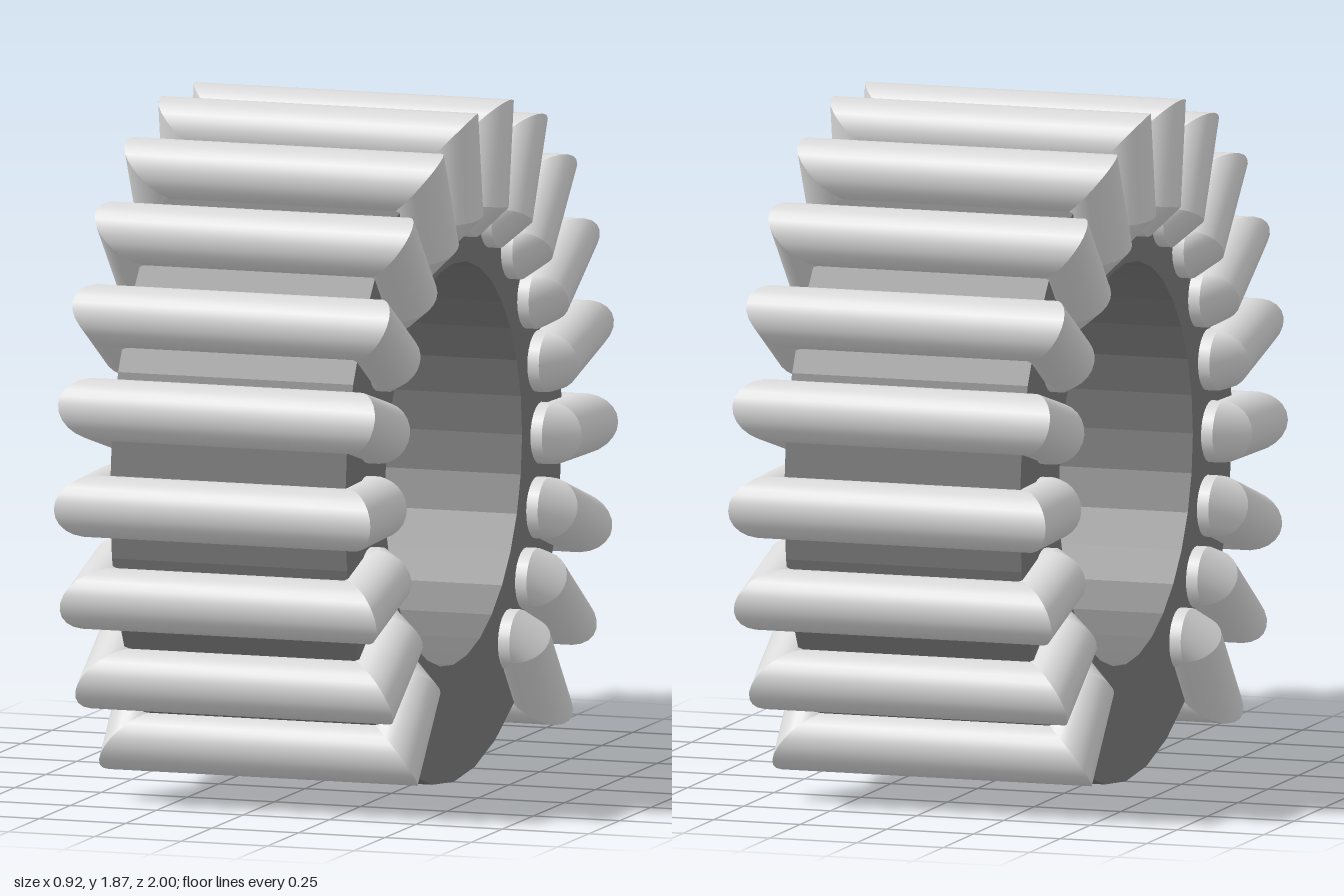
import * as THREE from 'three';
import { mergeGeometries } from 'three/addons/utils/BufferGeometryUtils.js';

const CORE_R = 0.876, BORE_R = 0.553, CORE_HALF = 0.34;
const WIRE_R = 0.085, WIRE_X = 0.373, INNER = 0.705, OUTER = 0.915;
const SIDES = 24;

// Regular polygon points, with a corner straight down
function polygon(radius, sides) {
  return Array.from({ length: sides }, (_, i) => {
    const a = -Math.PI / 2 + (i / sides) * Math.PI * 2;
    return new THREE.Vector2(Math.cos(a) * radius, Math.sin(a) * radius);
  });
}

// Smooth surface between two wire sections; a section is [x, y, outward x, outward y]
function wireSegment(a, b, start, sweep, steps) {
  const pos = [], index = [];
  const closed = sweep > 6;
  const count = closed ? steps : steps + 1;
  for (let i = 0; i < count; i++) {
    const t = start + (i / steps) * sweep;
    const c = Math.cos(t) * WIRE_R, s = Math.sin(t) * WIRE_R;
    for (const [x, y, dx, dy] of [a, b]) pos.push(x + dx * c, y + dy * c, s);
  }
  for (let i = 0; i < steps; i++) {
    const p = 2 * i, n = 2 * ((i + 1) % count);
    index.push(p, p + 1, n, n, p + 1, n + 1);
  }
  const g = new THREE.BufferGeometry();
  g.setAttribute('position', new THREE.Float32BufferAttribute(pos, 3));
  g.setIndex(index);
  g.computeVertexNormals();
  return g;
}

// One squared wire turn: mitred outer corners, chamfered inner corners
function turnGeometry() {
  const rightIn = [WIRE_X, INNER, 0, -1], rightLeg = [WIRE_X, INNER, 1, 0];
  const rightTop = [WIRE_X, OUTER, 1, 1], leftTop = [-WIRE_X, OUTER, -1, 1];
  const leftLeg = [-WIRE_X, INNER, -1, 0], leftIn = [-WIRE_X, INNER, 0, -1];
  const full = (a, b) => wireSegment(a, b, 0, Math.PI * 2, SIDES);
  const half = (a, b) => wireSegment(a, b, -Math.PI / 2, Math.PI, SIDES / 2);
  return mergeGeometries([
    half(rightIn, rightLeg), full(rightLeg, rightTop), full(rightTop, leftTop),
    full(leftTop, leftLeg), half(leftLeg, leftIn), full(leftIn, rightIn),
  ]);
}

export function createModel() {
  const model = new THREE.Group();
  model.name = 'toroidalCoil';

  const coreGrey = new THREE.MeshStandardMaterial({ color: 0x7a7a7a });
  coreGrey.name = 'core grey';
  const wireSilver = new THREE.MeshStandardMaterial({ color: 0xd9d9d9 });
  wireSilver.name = 'wire silver';

  // Ring core
  const ring = new THREE.Shape(polygon(CORE_R, 32));
  ring.holes.push(new THREE.Path(polygon(BORE_R, 32)));
  const coreGeo = new THREE.ExtrudeGeometry(ring, { depth: CORE_HALF * 2, bevelEnabled: false });
  coreGeo.translate(0, 0, -CORE_HALF).rotateY(Math.PI / 2);
  const core = new THREE.Mesh(coreGeo, coreGrey);
  core.name = 'core';
  core.position.y = CORE_R;
  model.add(core);

  // Wire turns, spaced evenly with a gap at the bottom
  const winding = new THREE.Group();
  winding.name = 'winding';
  winding.position.y = CORE_R;
  const turn = turnGeometry();
  const step = THREE.MathUtils.degToRad(16.6);
  for (let i = 0; i < 18; i++) {
    const mesh = new THREE.Mesh(turn, wireSilver);
    mesh.name = `wireTurn${i + 1}`;
    mesh.rotation.x = (i - 8.5) * step;
    winding.add(mesh);
  }
  model.add(winding);
  return model;
}
